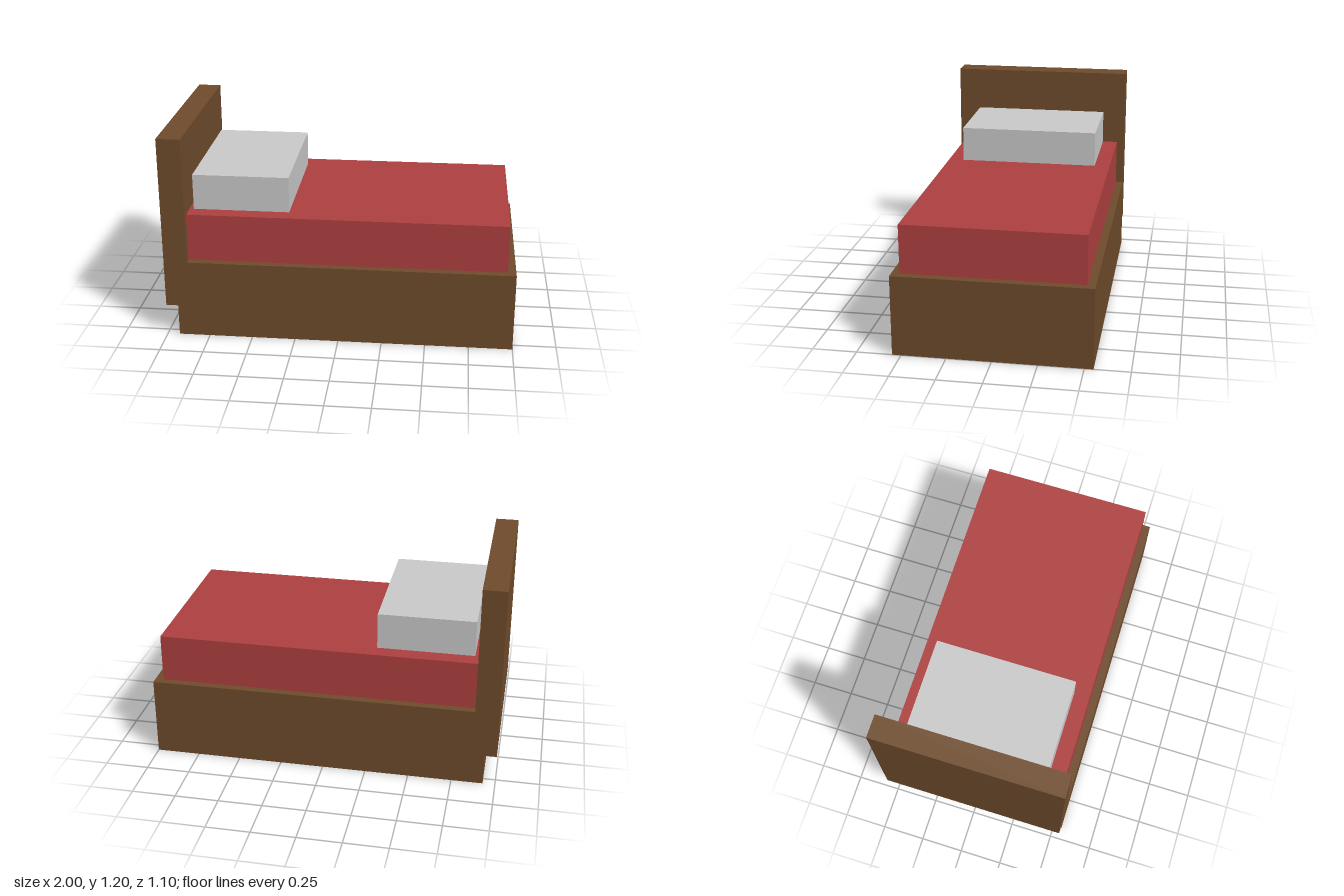
import * as THREE from 'three';

const wood = new THREE.MeshStandardMaterial({ color: 0x704c2c });
const blanket = new THREE.MeshStandardMaterial({ color: 0xb04040 });
const linen = new THREE.MeshStandardMaterial({ color: 0xd4d4d0 });

// Box spanning x0..x1 and y0..y1, centred on z
function block(name, material, [x0, x1], [y0, y1], depth) {
  const mesh = new THREE.Mesh(new THREE.BoxGeometry(x1 - x0, y1 - y0, depth), material);
  mesh.position.set((x0 + x1) / 2, (y0 + y1) / 2, 0);
  mesh.name = name;
  return mesh;
}

export function createModel() {
  const bed = new THREE.Group();
  bed.name = 'bed';
  bed.add(
    // Solid frame standing on the floor
    block('bedFrame', wood, [-0.93, 1], [0, 0.46], 1.1),
    // Headboard, raised off the floor and overhanging the frame
    block('headboard', wood, [-1, -0.865], [0.185, 1.197], 1.1),
    // Mattress, tucked slightly into the headboard
    block('mattress', blanket, [-0.88, 0.953], [0.46, 0.737], 1.01),
    // Pillow
    block('pillow', linen, [-0.84, -0.29], [0.737, 0.944], 0.826),
  );
  return bed;
}
